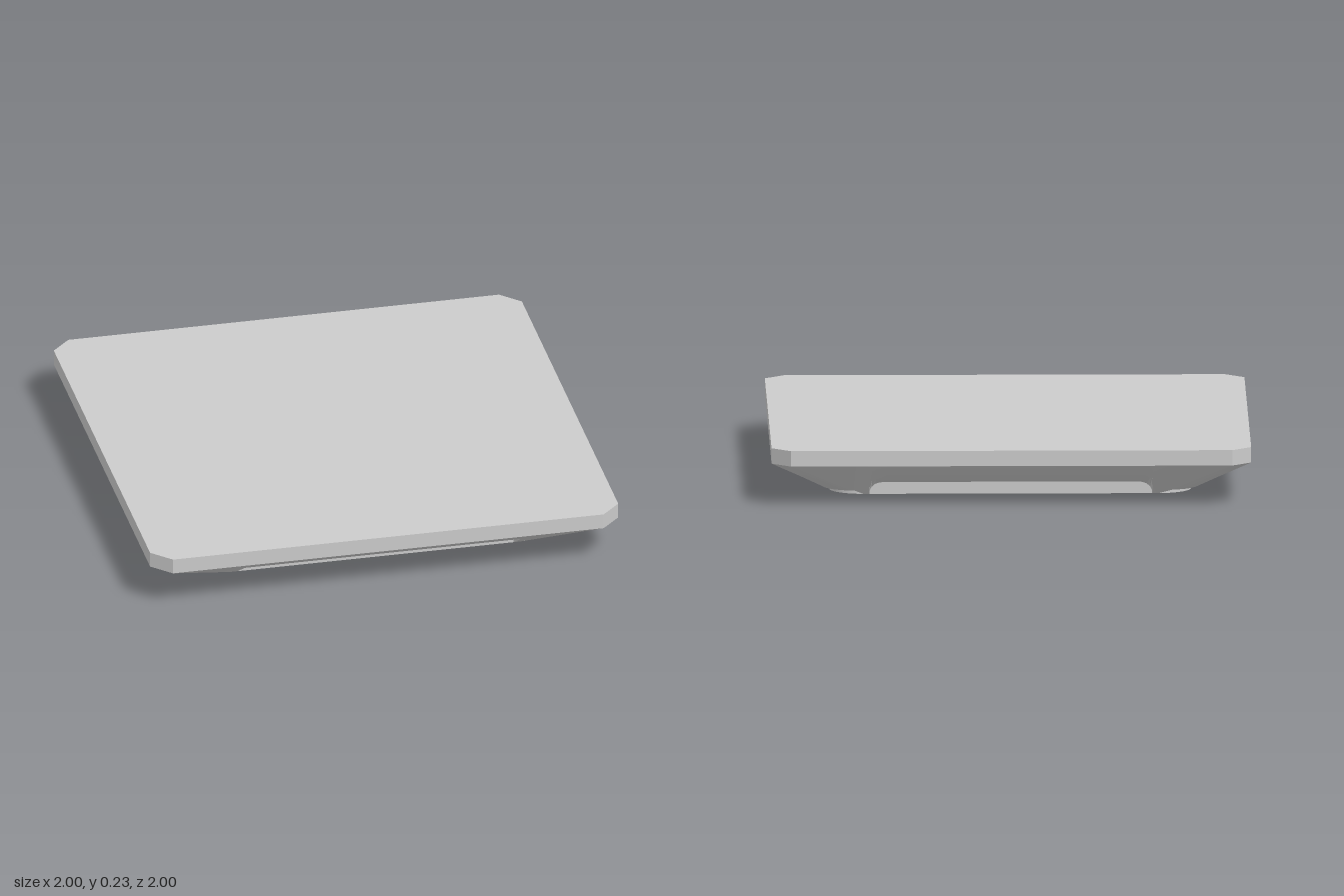
import * as THREE from 'three';
import { toCreasedNormals } from 'three/addons/utils/BufferGeometryUtils.js';

const TOP = 0.17, BASE = 0.015;      // heights of the sloped underside
const INNER = 0.755, RADIUS = 0.14;  // rounded square where the slope ends
const CHAMFER = 0.08;

const lerp = THREE.MathUtils.lerp;

// One station per cross-section: outer point, inner point, notch start f, notch height y
function makeStations() {
  const stations = [];
  const c = INNER - RADIUS;
  for (let side = 0; side < 4; side++) {
    const a = side * Math.PI / 2;
    const ceiling = side % 2 === 0 ? 0.065 : 0.1;
    const turn = ([t, r]) => [t * Math.cos(a) + r * Math.sin(a), -t * Math.sin(a) + r * Math.cos(a)];
    const add = (outer, inner, f, y) => stations.push({ outer: turn(outer), inner: turn(inner), f, y });

    // Air outlet, its ends rounded by easing the depth
    const ends = [[0.59, 0], [0.588, 0.3], [0.58, 0.6], [0.565, 0.85], [0.545, 0.97], [0.52, 1]];
    const run = [...ends.map(([t, d]) => [-t, d]), ...ends.slice().reverse()];
    for (const [t, d] of run) add([t, 1], [t, INNER], 0.45, lerp(BASE, ceiling, d));

    // Rounded corner with a small step above the flat base
    const n = 10;
    for (let i = 0; i <= n; i++) {
      const q = i / n, ang = q * Math.PI / 2;
      const inner = [c + RADIUS * Math.sin(ang), c + RADIUS * Math.cos(ang)];
      const outer = [1 - CHAMFER * (1 - q), 1 - CHAMFER * q];
      add(outer, inner, 0.88, i > 0 && i < n ? 0.032 : BASE);
    }
  }
  return stations;
}

// Profile of a station from the plate edge to the centre of the base
function profile({ outer, inner, f, y }) {
  const slope = (k) => new THREE.Vector3(lerp(outer[0], inner[0], k), lerp(TOP, BASE, k), lerp(outer[1], inner[1], k));
  const flat = (s, h) => new THREE.Vector3(inner[0] * s, h, inner[1] * s);
  return [
    slope(0), slope(f), flat(1, y), flat(1, BASE),
    flat(0.885, BASE), flat(0.885, BASE + 0.012), flat(0.872, BASE + 0.012), flat(0.872, BASE),
    new THREE.Vector3(0, BASE, 0),
  ];
}

function undersideGeometry() {
  const rows = makeStations().map(profile);
  const pos = [];
  const tri = (a, b, c) => {
    const area = b.clone().sub(a).cross(c.clone().sub(a)).length();
    if (area > 1e-8) for (const p of [a, b, c]) pos.push(p.x, p.y, p.z);
  };
  rows.forEach((row, i) => {
    const next = rows[(i + 1) % rows.length];
    for (let k = 0; k < row.length - 1; k++) {
      tri(row[k], row[k + 1], next[k]);
      tri(next[k], row[k + 1], next[k + 1]);
    }
  });
  const geo = new THREE.BufferGeometry();
  geo.setAttribute('position', new THREE.Float32BufferAttribute(pos, 3));
  return toCreasedNormals(geo, 0.4);
}

export function createModel() {
  const group = new THREE.Group();
  group.name = 'ceilingPanel';
  const grey = new THREE.MeshStandardMaterial({ color: 0xcccccc });
  const add = (name, geo) => {
    const mesh = new THREE.Mesh(geo, grey);
    mesh.name = name;
    group.add(mesh);
    return mesh;
  };

  // Square plate with cut corners
  const e = 1 - CHAMFER;
  const outline = [[e, 1], [1, e], [1, -e], [e, -1], [-e, -1], [-1, -e], [-1, e], [-e, 1]];
  const shape = new THREE.Shape(outline.map(([x, y]) => new THREE.Vector2(x, y)));
  const plate = new THREE.ExtrudeGeometry(shape, { depth: 0.065, bevelEnabled: false });
  plate.rotateX(-Math.PI / 2);
  add('mountingPlate', plate).position.y = TOP;

  // Sloped underside with four outlets and a grooved centre panel
  add('underside', undersideGeometry());

  // Grille latches near the back edge
  for (const s of [-1, 1]) {
    add(s > 0 ? 'leftLatch' : 'rightLatch', new THREE.BoxGeometry(0.1, 0.02, 0.02)).position.set(s * 0.34, 0.01, -0.62);
  }
  return group;
}
